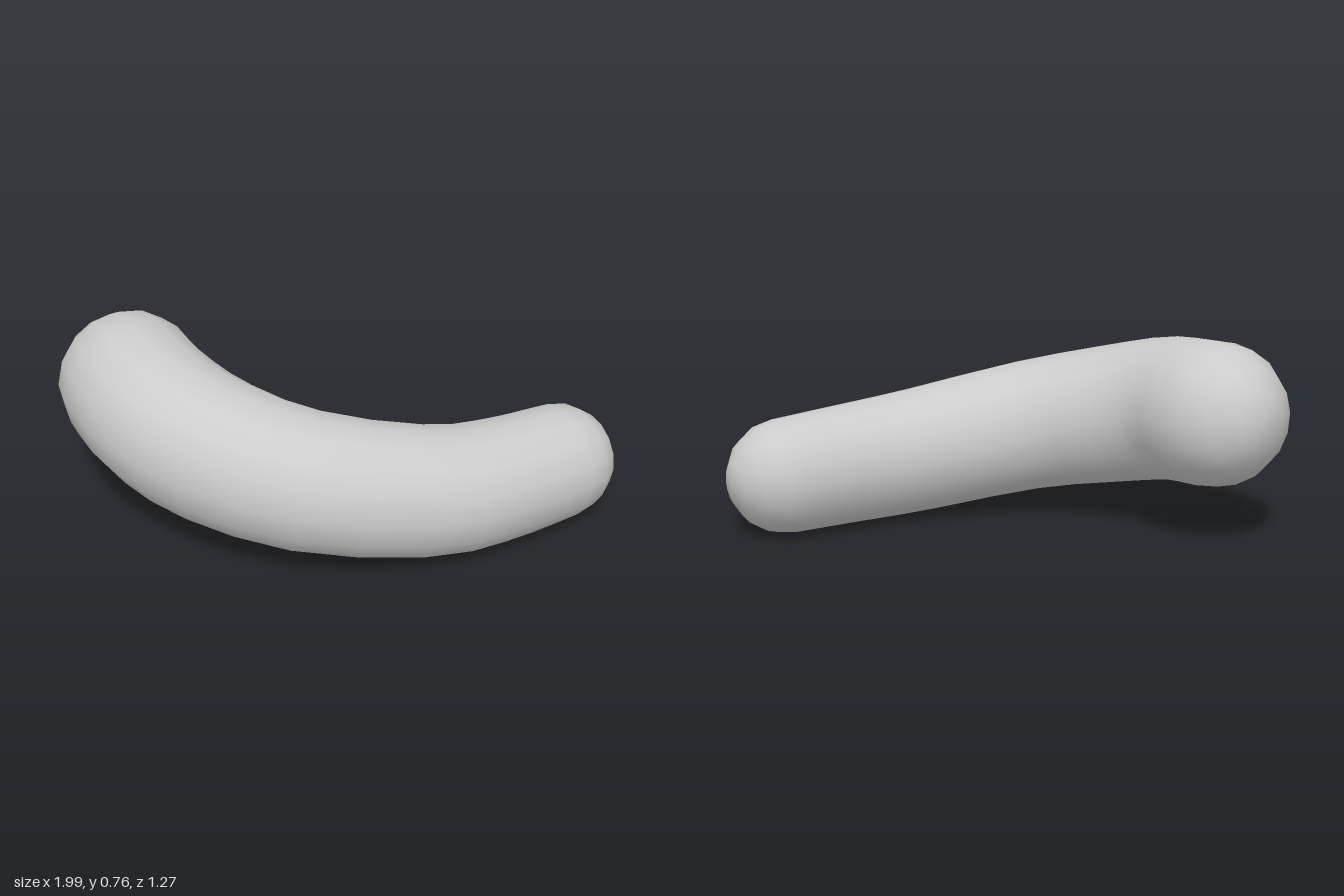
import * as THREE from 'three';
import { mergeVertices } from 'three/addons/utils/BufferGeometryUtils.js';

const SIDES = 16, BODY = 14, CAP = 4;

// Centre line with the radius at each point: x, y, z, r
const spine = [
  [-0.725, 0.48, -0.36, 0.277],
  [-0.675, 0.46, -0.135, 0.28],
  [-0.54, 0.41, 0.075, 0.276],
  [-0.235, 0.338, 0.305, 0.262],
  [0.24, 0.25, 0.39, 0.245],
  [0.52, 0.23, 0.355, 0.233],
  [0.77, 0.22, 0.295, 0.222],
];

// Sweep rings along the centre line and close both ends with domes
function roundedSweep() {
  const curve = new THREE.CatmullRomCurve3(spine.map(([x, y, z]) => new THREE.Vector3(x, y, z)));
  const radiusAt = (t) => {
    const f = t * (spine.length - 1), i = Math.min(Math.floor(f), spine.length - 2);
    return THREE.MathUtils.lerp(spine[i][3], spine[i + 1][3], f - i);
  };

  // Each station: curve parameter, offset along the tangent, ring scale
  const stations = [];
  for (let k = 0; k < CAP; k++) {
    const a = (k / CAP) * Math.PI / 2;
    stations.push([0, -Math.cos(a), Math.sin(a)]);
  }
  for (let k = 0; k <= BODY; k++) stations.push([k / BODY, 0, 1]);
  for (let k = CAP - 1; k >= 0; k--) {
    const a = (k / CAP) * Math.PI / 2;
    stations.push([1, Math.cos(a), Math.sin(a)]);
  }

  const positions = [], index = [];
  const worldUp = new THREE.Vector3(0, 1, 0);
  stations.forEach(([t, along, scale], i) => {
    const r = radiusAt(t);
    const tangent = curve.getTangent(t);
    const side = tangent.clone().cross(worldUp).normalize();
    const up = side.clone().cross(tangent);
    const centre = curve.getPoint(t).addScaledVector(tangent, along * r);
    for (let j = 0; j < SIDES; j++) {
      const a = (j / SIDES) * Math.PI * 2;
      const p = centre.clone()
        .addScaledVector(side, Math.cos(a) * r * scale)
        .addScaledVector(up, Math.sin(a) * r * scale);
      positions.push(p.x, p.y, p.z);
      if (i < stations.length - 1) {
        const n = (j + 1) % SIDES, b = i * SIDES, c = b + SIDES;
        index.push(b + j, c + j, b + n, c + j, c + n, b + n);
      }
    }
  });

  const geometry = new THREE.BufferGeometry();
  geometry.setAttribute('position', new THREE.Float32BufferAttribute(positions, 3));
  geometry.setIndex(index);
  const merged = mergeVertices(geometry, 1e-4);
  merged.computeVertexNormals();
  return merged;
}

export function createModel() {
  const model = new THREE.Group();
  model.name = 'curvedSausage';
  const body = new THREE.Mesh(roundedSweep(), new THREE.MeshStandardMaterial({ color: 0xcccccc }));
  body.name = 'body';
  model.add(body);
  return model;
}
